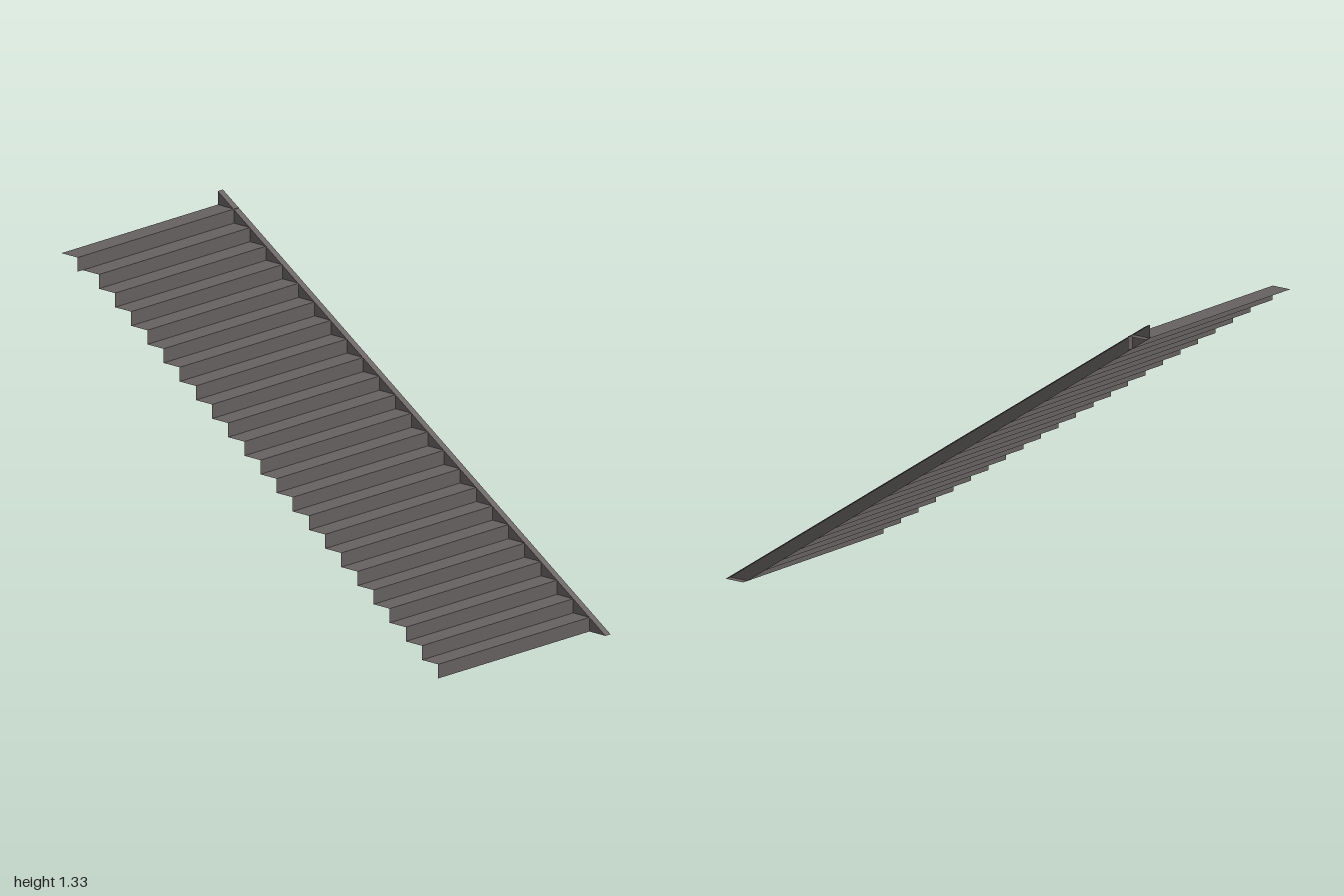
import * as THREE from 'three';

const STEPS = 23;
const RISE = 1.28 / STEPS;
const GOING = 1.917 / STEPS;
const FRONT = 0.917;        // z of the first riser
const INNER = 0.416;        // half width of the flight
const OUTER = 0.444;        // half width including the stringer

export function createModel() {
  const group = new THREE.Group();
  const steel = new THREE.MeshStandardMaterial({ color: 0x676161, side: THREE.DoubleSide });
  steel.name = 'greySteel';

  const add = (name, geometry, parent = group) => {
    const mesh = new THREE.Mesh(geometry, steel);
    mesh.name = name;
    parent.add(mesh);
    return mesh;
  };

  // Folded sheet steps: one riser and one tread each, the top one wider
  for (let i = 0; i < STEPS; i++) {
    const half = i === STEPS - 1 ? OUTER : INNER;
    const z = FRONT - i * GOING;
    const step = new THREE.Group();
    step.name = 'step' + (i + 1);
    group.add(step);
    add('riser', new THREE.PlaneGeometry(2 * half, RISE), step)
      .position.set(0, (i + 0.5) * RISE, z);
    add('tread', new THREE.PlaneGeometry(2 * half, GOING).rotateX(-Math.PI / 2), step)
      .position.set(0, (i + 1) * RISE, z - GOING / 2);
  }

  // Stringer web: sloping plate along the left side, outline as (-z, y)
  const web = new THREE.Shape([
    new THREE.Vector2(-1, 0), new THREE.Vector2(-FRONT, 0),
    new THREE.Vector2(1, 1.28), new THREE.Vector2(1, 1.333),
  ]);
  add('stringerWeb', new THREE.ShapeGeometry(web).rotateY(Math.PI / 2)).position.x = INNER;

  // Stringer top flange, open on the outer side
  const width = OUTER - INNER;
  const mid = (INNER + OUTER) / 2;
  const slope = Math.atan2(1.333, 2);
  const flange = new THREE.PlaneGeometry(width, Math.hypot(2, 1.333));
  add('stringerFlange', flange.rotateX(slope - Math.PI / 2)).position.set(mid, 1.333 / 2, 0);

  // Flat foot under the lower end of the stringer
  const foot = new THREE.PlaneGeometry(width, 1 - FRONT).rotateX(-Math.PI / 2);
  add('stringerFoot', foot).position.set(mid, 0, (1 + FRONT) / 2);

  return group;
}
